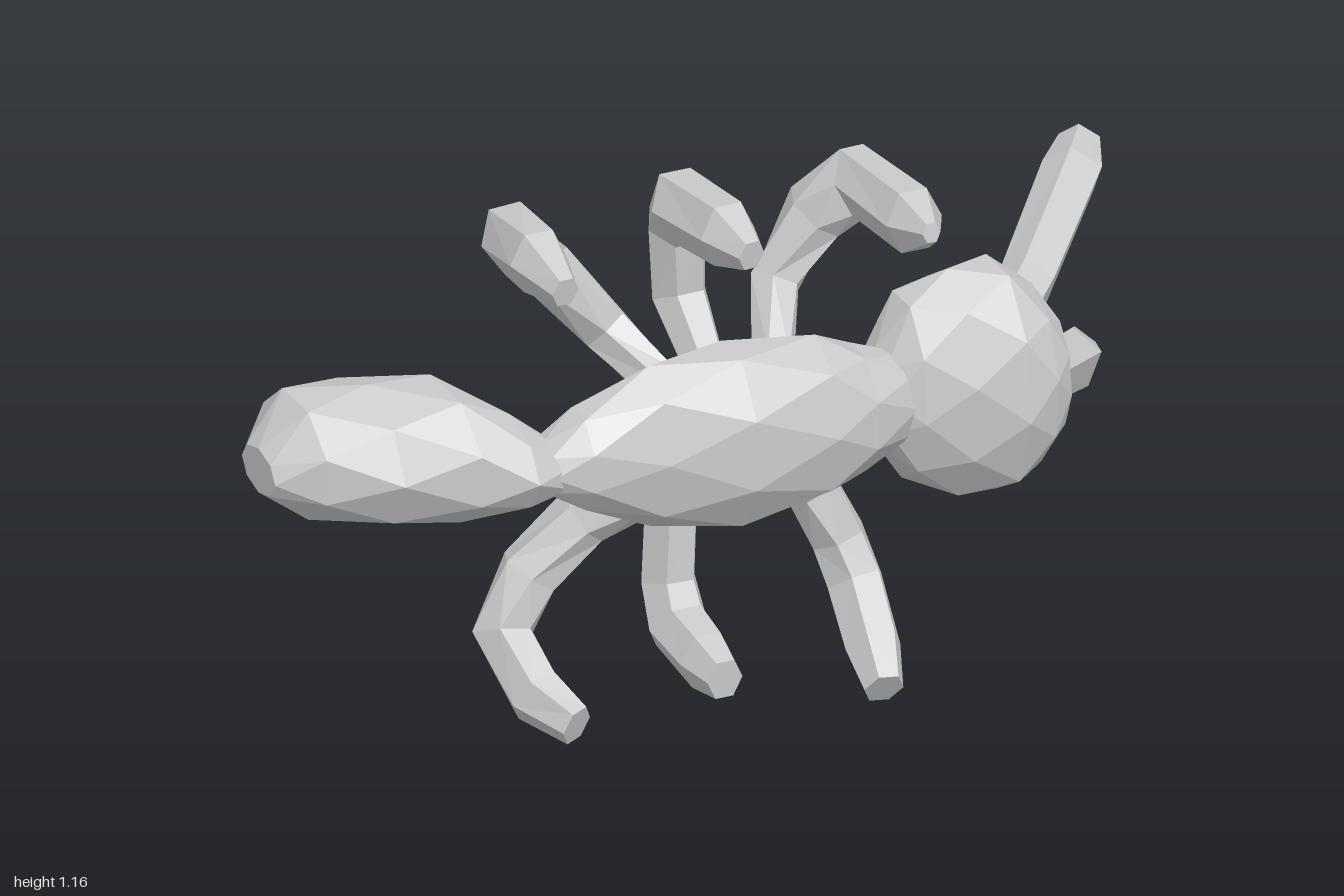
import * as THREE from 'three';

const material = new THREE.MeshStandardMaterial({ color: 0xcccccc, flatShading: true });

// Skin a list of rings (arrays of Vector3) and close both ends with fans.
function skin(name, rings) {
  const n = rings[0].length, pos = [], index = [];
  rings.forEach(r => r.forEach(p => pos.push(p.x, p.y, p.z)));
  for (let k = 0; k < rings.length - 1; k++) {
    for (let i = 0; i < n; i++) {
      const a = k * n + i, b = k * n + (i + 1) % n;
      // diagonals alternate to follow the staggered rings
      if (k % 2) index.push(a, b, b + n, a, b + n, a + n);
      else index.push(a, b, a + n, b, b + n, a + n);
    }
  }
  const last = (rings.length - 1) * n;
  for (let i = 1; i < n - 1; i++) {
    index.push(0, i + 1, i);
    index.push(last, last + i, last + i + 1);
  }
  const g = new THREE.BufferGeometry();
  g.setAttribute('position', new THREE.Float32BufferAttribute(pos, 3));
  g.setIndex(index);
  const flat = g.toNonIndexed();
  flat.computeVertexNormals();
  const mesh = new THREE.Mesh(flat, material);
  mesh.name = name;
  return mesh;
}

// Body segment from stations along x: [x, yMin, yMax, zMin, zMax]
function segment(name, sides, stations) {
  return skin(name, stations.map(([x, y0, y1, z0, z1], k) =>
    Array.from({ length: sides }, (_, i) => {
      const a = (i + (k % 2) * 0.5) / sides * Math.PI * 2;
      return new THREE.Vector3(x,
        (y0 + y1) / 2 + Math.cos(a) * (y1 - y0) / 2,
        (z0 + z1) / 2 + Math.sin(a) * (z1 - z0) / 2);
    })));
}

// Limb along a bent path of [x, y, z, radius]; depth widens it across ref
function limb(name, path, ref, sides, depth) {
  const pts = path.map(p => new THREE.Vector3(p[0], p[1], p[2]));
  return skin(name, pts.map((p, k) => {
    const before = pts[Math.max(k - 1, 0)], after = pts[Math.min(k + 1, pts.length - 1)];
    const t = new THREE.Vector3();
    if (k > 0) t.add(p.clone().sub(before).normalize());
    if (k < pts.length - 1) t.add(after.clone().sub(p).normalize());
    t.normalize();
    const u = ref.clone().addScaledVector(t, -ref.dot(t)).normalize();
    const w = t.clone().cross(u);
    return Array.from({ length: sides }, (_, i) => {
      const a = i / sides * Math.PI * 2, r = path[k][3];
      return p.clone().addScaledVector(u, Math.cos(a) * r).addScaledVector(w, Math.sin(a) * r * depth);
    });
  }));
}

export function createModel() {
  const model = new THREE.Group();
  model.name = 'ant';
  const X = new THREE.Vector3(1, 0, 0), Y = new THREE.Vector3(0, 1, 0);

  // Three body segments
  model.add(segment('abdomen', 8, [
    [-1.0, 0.59, 0.69, -0.16, 0.0],
    [-0.91, 0.52, 0.785, -0.26, 0.07],
    [-0.77, 0.50, 0.80, -0.245, 0.14],
    [-0.62, 0.505, 0.80, -0.18, 0.205],
    [-0.51, 0.545, 0.74, -0.07, 0.235],
    [-0.43, 0.565, 0.68, 0.05, 0.2],
  ]));
  model.add(segment('thorax', 8, [
    [-0.46, 0.575, 0.685, 0.07, 0.2],
    [-0.38, 0.525, 0.745, 0.05, 0.23],
    [-0.22, 0.45, 0.815, 0.035, 0.25],
    [-0.04, 0.425, 0.835, 0.025, 0.29],
    [0.15, 0.445, 0.815, 0.03, 0.28],
    [0.25, 0.49, 0.765, 0.035, 0.26],
    [0.36, 0.53, 0.72, 0.05, 0.21],
  ]));
  model.add(segment('head', 9, [
    [0.31, 0.51, 0.73, 0.02, 0.19],
    [0.37, 0.42, 0.84, -0.025, 0.23],
    [0.47, 0.37, 0.88, -0.04, 0.265],
    [0.58, 0.36, 0.885, -0.045, 0.285],
    [0.65, 0.42, 0.82, -0.005, 0.27],
    [0.695, 0.49, 0.75, 0.055, 0.235],
  ]));

  // Antennae with blunt tips
  model.add(limb('upperAntenna', [
    [0.62, 0.705, 0.07, 0.06], [0.72, 0.74, -0.03, 0.062],
    [0.92, 0.855, -0.24, 0.066], [0.97, 0.88, -0.315, 0.045],
  ], Y, 5, 1));
  model.add(limb('lowerAntenna', [
    [0.62, 0.54, 0.07, 0.058], [0.72, 0.505, -0.03, 0.06],
    [0.92, 0.42, -0.25, 0.066], [0.965, 0.4, -0.33, 0.046],
  ], Y, 5, 1));

  // Six legs, arching behind the body and curling forward
  const legs = {
    upperRearLeg: [[-0.17, 0.74, 0.1, 0.045], [-0.24, 0.83, -0.03, 0.055], [-0.36, 0.98, -0.055, 0.06],
      [-0.45, 1.08, -0.025, 0.067], [-0.465, 1.1, 0.13, 0.063], [-0.46, 1.08, 0.25, 0.03]],
    upperMiddleLeg: [[-0.06, 0.74, 0.08, 0.045], [-0.06, 0.86, -0.055, 0.06], [-0.065, 1.02, -0.055, 0.063],
      [-0.07, 1.08, -0.015, 0.07], [-0.06, 1.1, 0.18, 0.063], [-0.05, 1.09, 0.275, 0.03]],
    upperFrontLeg: [[0.08, 0.74, 0.1, 0.045], [0.15, 0.85, -0.04, 0.055], [0.24, 0.99, -0.04, 0.063],
      [0.31, 1.075, 0.02, 0.067], [0.325, 1.085, 0.26, 0.063], [0.32, 1.1, 0.355, 0.02]],
    lowerRearLeg: [[-0.2, 0.52, 0.1, 0.05], [-0.31, 0.44, 0.02, 0.057], [-0.42, 0.32, -0.01, 0.062],
      [-0.485, 0.2, 0.0, 0.067], [-0.465, 0.105, 0.12, 0.06], [-0.42, 0.07, 0.22, 0.04]],
    lowerMiddleLeg: [[-0.06, 0.5, 0.08, 0.045], [-0.07, 0.4, -0.07, 0.06], [-0.08, 0.21, -0.065, 0.06],
      [-0.08, 0.125, -0.015, 0.065], [-0.08, 0.105, 0.12, 0.058], [-0.08, 0.1, 0.21, 0.04]],
    lowerFrontLeg: [[0.12, 0.52, 0.1, 0.045], [0.19, 0.42, 0.03, 0.055], [0.25, 0.29, 0.05, 0.06],
      [0.27, 0.2, 0.09, 0.062], [0.26, 0.1, 0.2, 0.06], [0.245, 0.045, 0.285, 0.042]],
  };
  for (const [name, path] of Object.entries(legs)) model.add(limb(name, path, X, 6, 1.2));

  return model;
}
